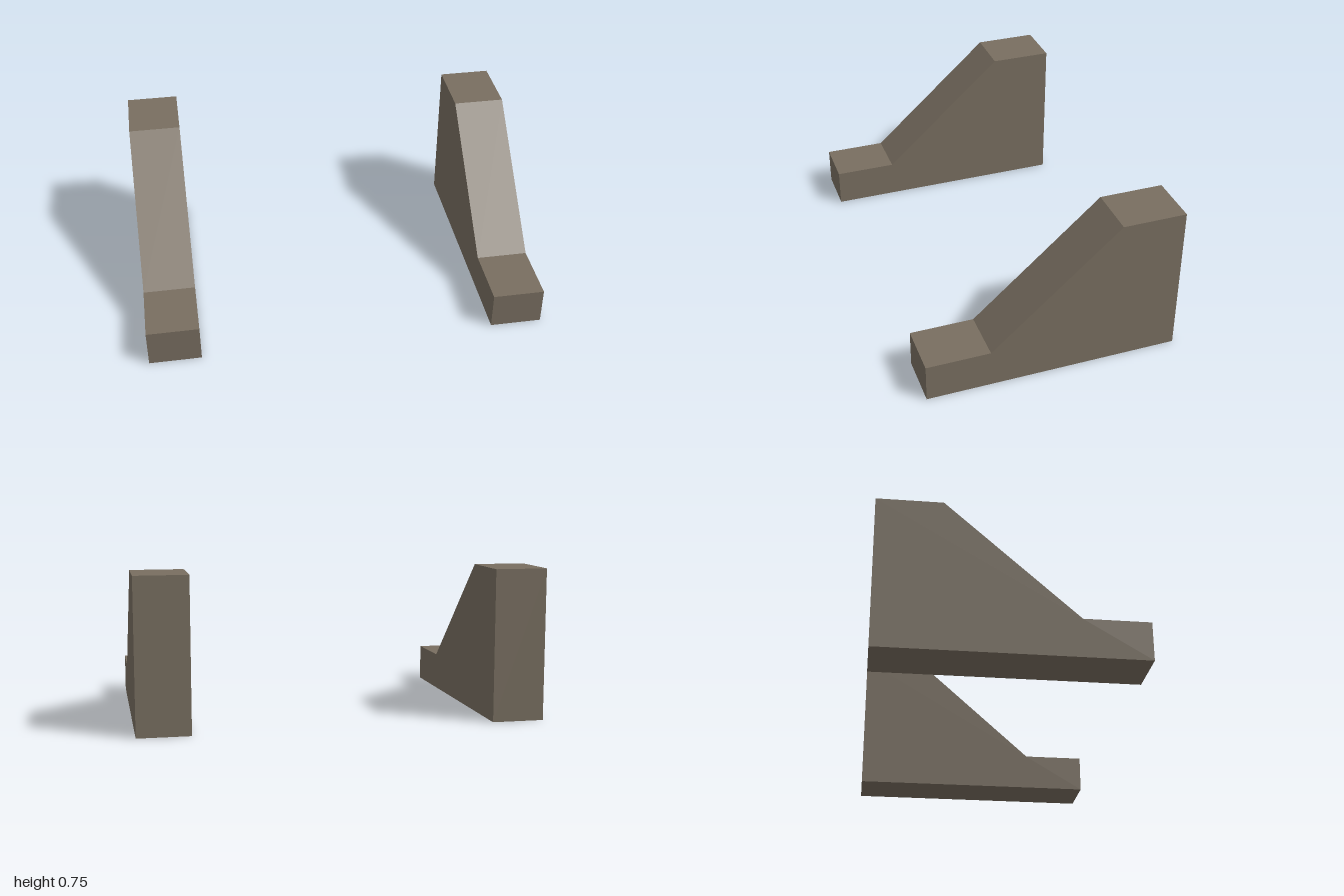
import * as THREE from 'three';

const WIDTH = 0.26;

export function createModel() {
  const model = new THREE.Group();
  model.name = 'stairSideWalls';
  const stone = new THREE.MeshStandardMaterial({ color: 0x786e60 });
  stone.name = 'brown stone';

  // Side profile (z, y): low front ledge, slope, tall rear block
  const profile = new THREE.Shape([
    [0.63, 0], [0.63, 0.19], [0.315, 0.19],
    [-0.315, 0.755], [-0.63, 0.755], [-0.63, 0],
  ].map(([z, y]) => new THREE.Vector2(z, y)));

  // Extrude across x, centred on the wall
  const geometry = new THREE.ExtrudeGeometry(profile, { depth: WIDTH, bevelEnabled: false });
  geometry.translate(0, 0, -WIDTH / 2);
  geometry.rotateY(-Math.PI / 2);

  // Matching walls on both sides
  for (const [name, side] of [['leftWall', 1], ['rightWall', -1]]) {
    const wall = new THREE.Mesh(geometry, stone);
    wall.name = name;
    wall.position.x = side * (1 - WIDTH / 2);
    model.add(wall);
  }
  return model;
}
